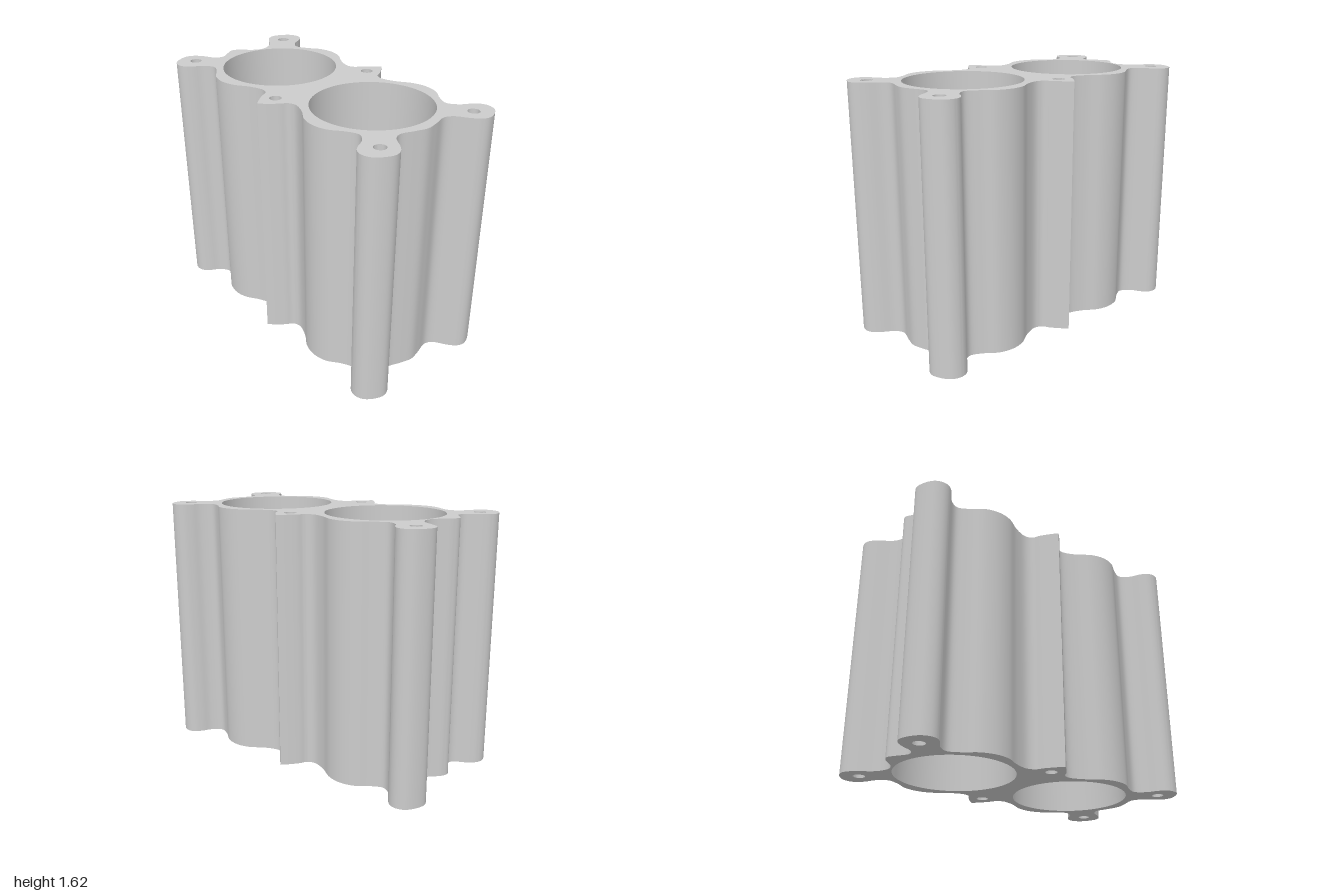
import * as THREE from 'three';
import { toCreasedNormals } from 'three/addons/utils/BufferGeometryUtils.js';

const HEIGHT = 1.62;

// Quarter outline from the middle tip to the outer corner lobe (x and z positive)
const QUARTER = [
  [0, 0.5], [0.03, 0.47], [0.083, 0.405], [0.11, 0.36], [0.16, 0.343], [0.255, 0.375],
  [0.35, 0.434], [0.443, 0.453], [0.54, 0.432], [0.62, 0.375], [0.70, 0.342], [0.765, 0.385],
  [0.80, 0.445], [0.835, 0.485], [0.88, 0.5], [0.935, 0.485], [0.975, 0.44], [1, 0.37],
  [0.985, 0.322], [0.94, 0.28],
];
// End walls between the lobes, from front to back
const RIGHT_END = [
  [0.86, 0.227], [0.835, 0.175], [0.862, 0.08], [0.88, 0], [0.862, -0.08],
  [0.835, -0.175], [0.86, -0.227],
];
const LEFT_END = [
  [-0.855, 0.23], [-0.84, 0.18], [-0.885, 0.11], [-0.915, 0.06], [-0.9, 0.015],
  [-0.828, -0.065], [-0.807, -0.13], [-0.845, -0.213],
];

// Smooth half outline from the front tip round one end to the back tip
function halfOutline(side, end) {
  const front = QUARTER.map(([x, z]) => [side * x, z]);
  const back = QUARTER.map(([x, z]) => [side * x, -z]).reverse();
  const points = [...front, ...end, ...back].map(([x, z]) => new THREE.Vector3(x, -z, 0));
  return new THREE.CatmullRomCurve3(points, false, 'centripetal')
    .getPoints(240).map((p) => new THREE.Vector2(p.x, p.y));
}

function roundHole(x, z, radius, segments) {
  const points = [];
  for (let i = 0; i < segments; i++) {
    const a = (i / segments) * Math.PI * 2;
    points.push(new THREE.Vector2(x + radius * Math.cos(a), -z + radius * Math.sin(a)));
  }
  return new THREE.Path(points);
}

export function createModel() {
  const group = new THREE.Group();
  group.name = 'twinCylinderBlock';

  const right = halfOutline(1, RIGHT_END);
  const left = halfOutline(-1, LEFT_END).reverse();
  const shape = new THREE.Shape([...right, ...left.slice(1, -1)]);

  // Two cylinder bores
  for (const side of [-1, 1]) shape.holes.push(roundHole(side * 0.44, 0, 0.369, 96));
  // Six bolt holes
  for (const x of [-0.883, 0, 0.883]) {
    for (const z of [-0.368, 0.368]) shape.holes.push(roundHole(x, z, 0.037, 32));
  }

  const extruded = new THREE.ExtrudeGeometry(shape, { depth: HEIGHT, bevelEnabled: false });
  extruded.rotateX(-Math.PI / 2);

  const block = new THREE.Mesh(
    toCreasedNormals(extruded, 0.6),
    new THREE.MeshStandardMaterial({ color: 0xcccccc }),
  );
  block.name = 'cylinderBlock';
  group.add(block);
  return group;
}
